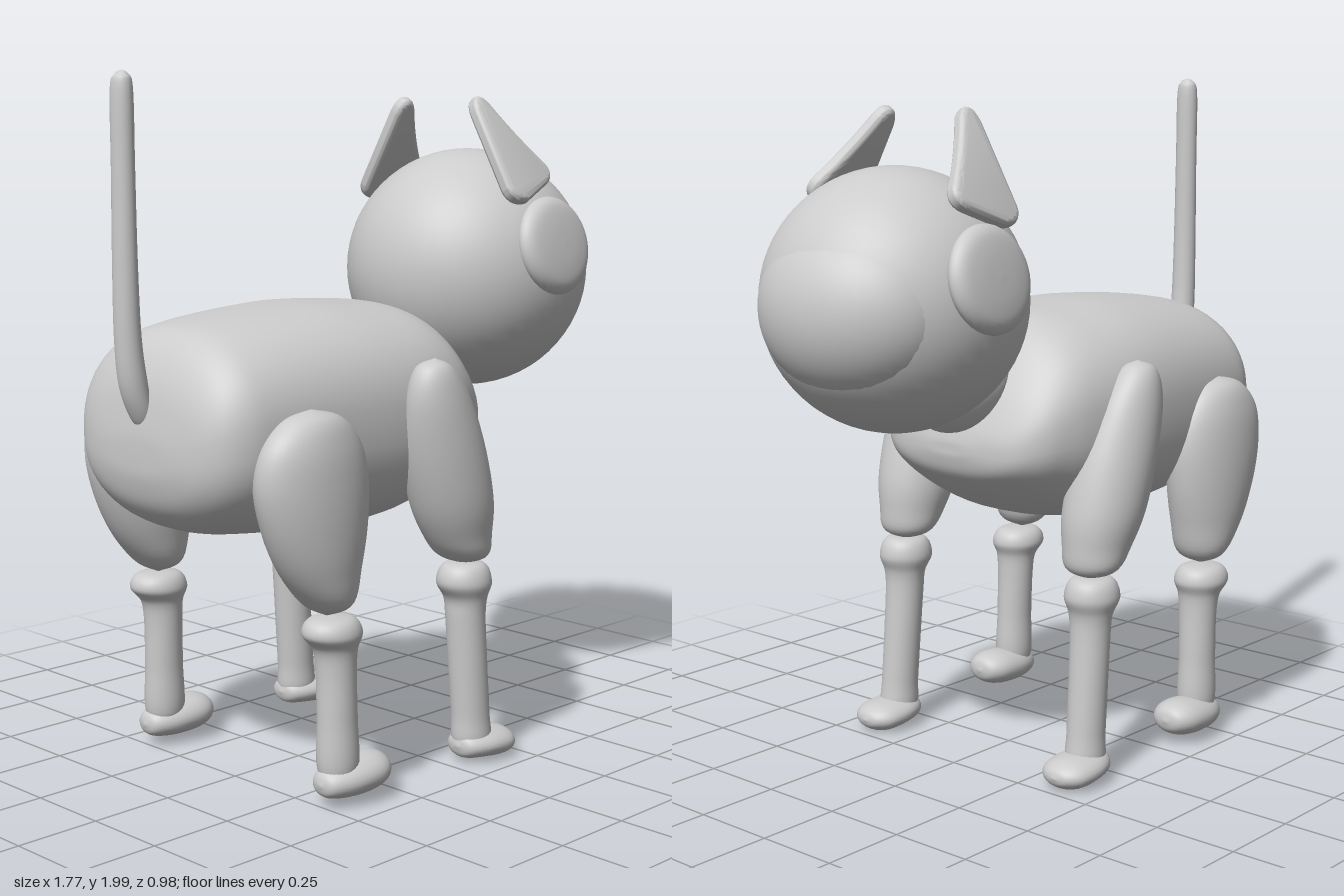
import * as THREE from 'three';
import { mergeVertices, toCreasedNormals } from 'three/addons/utils/BufferGeometryUtils.js';

const MAT = new THREE.MeshStandardMaterial({ color: 0xcccccc, roughness: 0.7 });

function add(parent, name, geometry, x = 0, y = 0, z = 0) {
  const mesh = new THREE.Mesh(geometry, MAT);
  mesh.name = name;
  mesh.position.set(x, y, z);
  parent.add(mesh);
  return mesh;
}

// Smooth closed form through rings [t, low, high, zCentre, zRadius].
// axis 'x': t = x (rising), low/high = y.  axis 'y': t = y (falling), low/high = x.
function loft(axis, rings, power = 2, steps = 40, sides = 40) {
  const curve = (f) => new THREE.CatmullRomCurve3(rings.map(f), false, 'catmullrom', 0.5);
  const span = curve((r) => new THREE.Vector3(r[0], r[1], r[2]));
  const depth = curve((r) => new THREE.Vector3(r[3], r[4], 0));
  const pos = [], idx = [];
  const bend = (v) => Math.sign(v) * Math.pow(Math.abs(v), 2 / power);
  for (let i = 0; i <= steps; i++) {
    const a = span.getPoint(i / steps), d = depth.getPoint(i / steps);
    for (let j = 0; j < sides; j++) {
      const t = (j / sides) * Math.PI * 2;
      const u = (a.y + a.z) / 2 + ((a.z - a.y) / 2) * bend(Math.cos(t));
      const z = d.x + Math.max(d.y, 0) * bend(Math.sin(t));
      if (axis === 'x') pos.push(a.x, u, z);
      else pos.push(u, a.x, z);
      if (i < steps) {
        const p = i * sides + j, q = i * sides + ((j + 1) % sides);
        idx.push(p, q, p + sides, q, q + sides, p + sides);
      }
    }
  }
  let g = new THREE.BufferGeometry();
  g.setAttribute('position', new THREE.Float32BufferAttribute(pos, 3));
  g.setIndex(idx);
  g = mergeVertices(g, 1e-5);
  g.computeVertexNormals();
  return g;
}

function ellipsoid(rx, ry, rz) {
  return new THREE.SphereGeometry(1, 48, 32).scale(rx, ry, rz);
}

// Leg: thigh, shin with a knee knob, and foot; side is +1 (+z) or -1 (-z)
function leg(parent, name, side, thigh, shin, foot) {
  const group = new THREE.Group();
  group.name = name;
  const place = (rings) => rings.map(([t, a, b, z, r]) => [t, a, b, z * side, r]);
  add(group, 'thigh', loft('y', place(thigh)));
  add(group, 'shin', loft('y', place(shin), 2, 50, 28));
  add(group, 'foot', loft('x', place(foot), 2, 28, 28));
  parent.add(group);
  return group;
}

export function createModel() {
  const model = new THREE.Group();
  model.name = 'fourLeggedAnimal';

  // Barrel-shaped trunk
  add(model, 'body', loft('x', [
    [-0.825, 0.98, 0.98, -0.02, 0],
    [-0.82, 0.91, 1.06, -0.02, 0.16],
    [-0.79, 0.83, 1.19, -0.02, 0.27],
    [-0.72, 0.77, 1.29, -0.02, 0.335],
    [-0.6, 0.74, 1.33, -0.02, 0.36],
    [-0.3, 0.712, 1.358, -0.02, 0.385],
    [-0.1, 0.715, 1.352, -0.02, 0.39],
    [0.05, 0.745, 1.335, -0.02, 0.37],
    [0.14, 0.785, 1.28, -0.02, 0.345],
    [0.22, 0.84, 1.17, -0.02, 0.3],
    [0.275, 0.89, 1.06, -0.02, 0.22],
    [0.295, 0.94, 1.0, -0.02, 0.1],
    [0.297, 0.97, 0.97, -0.02, 0],
  ], 2.4, 60, 56));

  // Short neck with rounded ends, leaning forward
  const neck = add(model, 'neck', new THREE.LatheGeometry(new THREE.SplineCurve([
    new THREE.Vector2(0.001, -0.1), new THREE.Vector2(0.11, -0.09), new THREE.Vector2(0.155, -0.05),
    new THREE.Vector2(0.165, 0), new THREE.Vector2(0.16, 0.06), new THREE.Vector2(0.15, 0.15),
  ]).getPoints(24), 40), 0.25, 1.17, -0.015);
  neck.rotation.z = -0.95;

  // Head and muzzle
  add(model, 'head', ellipsoid(0.374, 0.366, 0.37), 0.49, 1.413, -0.012);
  add(model, 'muzzle', ellipsoid(0.255, 0.262, 0.305), 0.63, 1.405, -0.025);

  // Pointed ear outline, with rounded corners
  const outline = new THREE.Shape();
  outline.moveTo(0.352, 0.06);
  outline.quadraticCurveTo(0.358, 0.025, 0.4, 0.03);
  outline.lineTo(0.51, 0.08);
  outline.quadraticCurveTo(0.552, 0.098, 0.525, 0.13);
  outline.quadraticCurveTo(0.45, 0.22, 0.392, 0.325);
  outline.quadraticCurveTo(0.363, 0.37, 0.354, 0.31);
  outline.closePath();
  const earShape = toCreasedNormals(new THREE.ExtrudeGeometry(outline, {
    depth: 0.006, bevelEnabled: true, bevelThickness: 0.02, bevelSize: 0.02,
    bevelSegments: 6, curveSegments: 12,
  }).translate(0, 0, -0.003), 0.9);

  // Thick round side disc
  const discShape = new THREE.LatheGeometry(new THREE.SplineCurve([
    new THREE.Vector2(0.001, -0.045), new THREE.Vector2(0.07, -0.042), new THREE.Vector2(0.125, -0.03),
    new THREE.Vector2(0.148, 0), new THREE.Vector2(0.125, 0.03), new THREE.Vector2(0.07, 0.042),
    new THREE.Vector2(0.001, 0.045),
  ]).getPoints(30), 40);

  for (const side of [1, -1]) {
    const label = side > 0 ? 'Near' : 'Far';
    const ear = add(model, 'ear' + label, earShape, 0, 1.615, side * 0.32 - 0.017);
    ear.rotation.x = -side * 0.52;
    const disc = add(model, 'earDisc' + label, discShape, 0.497, 1.495, side * 0.347 - 0.018);
    disc.rotation.x = side * 1.36;

    // Front leg, leaning forward as it goes down
    leg(model, 'frontLeg' + label, side, [
      [1.217, -0.1, -0.1, 0.4, 0],
      [1.19, -0.16, -0.045, 0.4, 0.05],
      [1.1, -0.185, 0.025, 0.395, 0.08],
      [0.95, -0.168, 0.095, 0.375, 0.112],
      [0.8, -0.122, 0.135, 0.368, 0.116],
      [0.7, -0.07, 0.14, 0.365, 0.1],
      [0.63, -0.01, 0.13, 0.365, 0.078],
      [0.6, 0.07, 0.07, 0.365, 0],
    ], [
      [0.612, 0.06, 0.06, 0.37, 0],
      [0.6, 0.0, 0.125, 0.37, 0.06],
      [0.55, -0.02, 0.146, 0.37, 0.08],
      [0.5, 0.008, 0.13, 0.37, 0.066],
      [0.44, 0.013, 0.128, 0.37, 0.06],
      [0.3, 0.022, 0.138, 0.372, 0.057],
      [0.15, 0.032, 0.15, 0.374, 0.055],
      [0.06, 0.038, 0.155, 0.375, 0.053],
      [0.04, 0.1, 0.1, 0.375, 0],
    ], [
      [0.028, 0.06, 0.06, 0.378, 0],
      [0.045, 0.025, 0.092, 0.378, 0.05],
      [0.11, 0.014, 0.1, 0.378, 0.08],
      [0.19, 0.008, 0.094, 0.378, 0.078],
      [0.232, 0.025, 0.075, 0.378, 0.045],
      [0.245, 0.05, 0.05, 0.378, 0],
    ]);

    // Hind leg, broader in the thigh
    leg(model, 'hindLeg' + label, side, [
      [1.116, -0.53, -0.53, 0.365, 0],
      [1.09, -0.625, -0.435, 0.365, 0.06],
      [1.02, -0.695, -0.37, 0.365, 0.09],
      [0.92, -0.714, -0.34, 0.36, 0.108],
      [0.8, -0.685, -0.345, 0.36, 0.11],
      [0.68, -0.625, -0.37, 0.36, 0.1],
      [0.58, -0.54, -0.4, 0.36, 0.075],
      [0.542, -0.47, -0.47, 0.36, 0],
    ], [
      [0.547, -0.46, -0.46, 0.37, 0],
      [0.535, -0.53, -0.395, 0.37, 0.06],
      [0.495, -0.549, -0.373, 0.37, 0.08],
      [0.45, -0.512, -0.388, 0.37, 0.064],
      [0.38, -0.502, -0.39, 0.37, 0.058],
      [0.25, -0.502, -0.386, 0.372, 0.055],
      [0.1, -0.5, -0.384, 0.373, 0.053],
      [0.06, -0.44, -0.44, 0.373, 0],
    ], [
      [-0.518, 0.075, 0.075, 0.378, 0],
      [-0.5, 0.04, 0.11, 0.378, 0.045],
      [-0.43, 0.027, 0.13, 0.378, 0.075],
      [-0.34, 0.03, 0.138, 0.378, 0.078],
      [-0.288, 0.05, 0.122, 0.378, 0.05],
      [-0.272, 0.086, 0.086, 0.378, 0],
    ]).position.z = -0.01;
  }

  // Upright tail, thinning to a round tip
  add(model, 'tail', loft('y', [
    [2.0, -0.853, -0.853, -0.015, 0],
    [1.99, -0.868, -0.837, -0.015, 0.02],
    [1.95, -0.882, -0.825, -0.015, 0.033],
    [1.75, -0.883, -0.823, -0.015, 0.034],
    [1.5, -0.885, -0.82, -0.015, 0.036],
    [1.3, -0.882, -0.81, -0.017, 0.038],
    [1.17, -0.868, -0.79, -0.018, 0.04],
    [1.08, -0.83, -0.77, -0.02, 0.034],
    [1.04, -0.795, -0.795, -0.02, 0],
  ], 2, 48, 24));

  return model;
}
